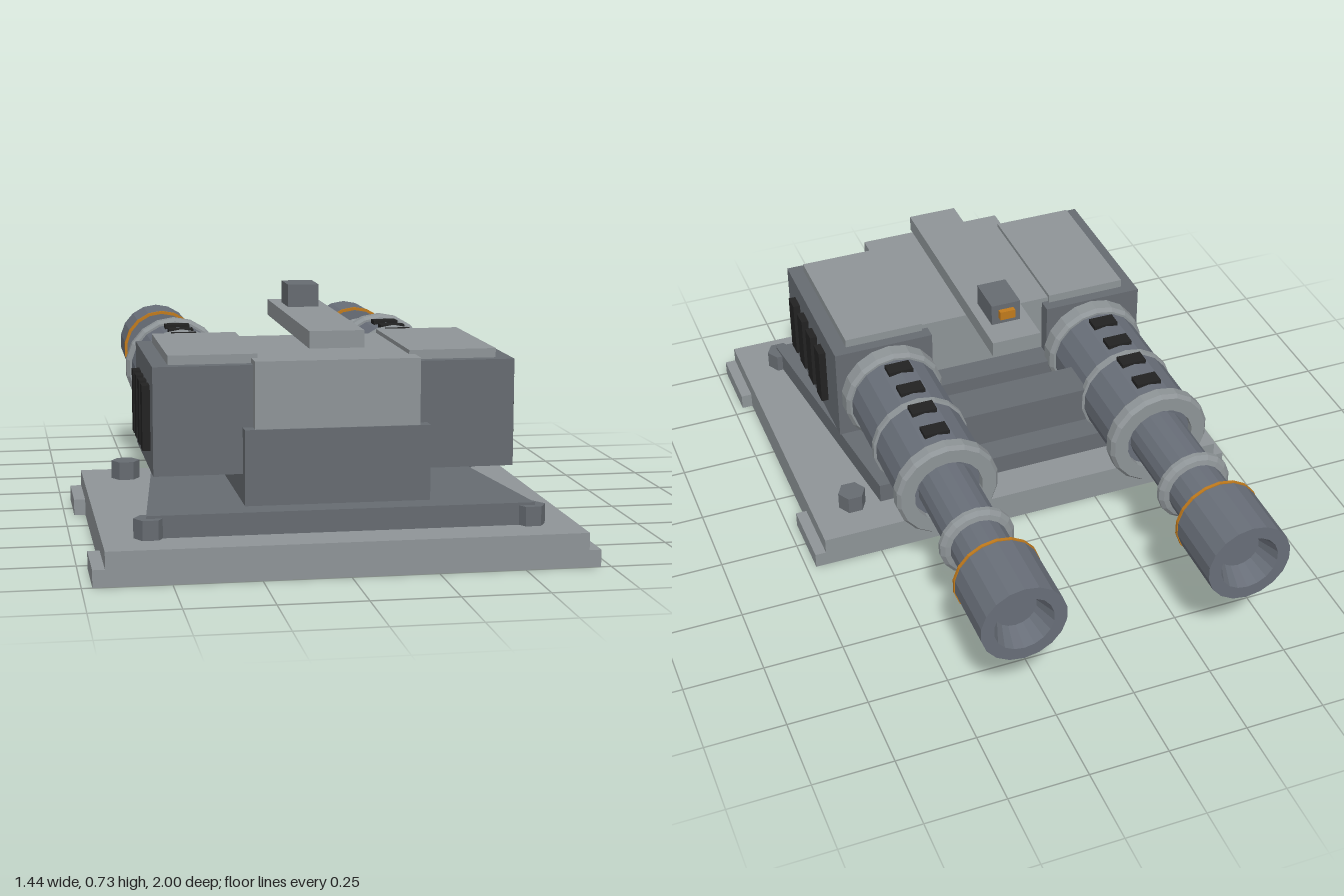
import * as THREE from 'three';

const mat = (name, color, flat = true) => {
  const m = new THREE.MeshStandardMaterial({ color, flatShading: flat });
  m.name = name;
  return m;
};

export function createModel() {
  const light = mat('light plating', 0x8e9497);
  const dark = mat('dark armour', 0x666b71);
  const steel = mat('barrel steel', 0x686e78);
  const black = mat('vent black', 0x222222);
  const orange = mat('orange accent', 0xc07a1c);
  const root = new THREE.Group();
  root.name = 'twinGunTurret';

  const add = (parent, name, geo, material) => {
    const mesh = new THREE.Mesh(geo, material);
    mesh.name = name;
    parent.add(mesh);
    return mesh;
  };
  // box given by its limits on each axis
  const box = (parent, name, material, x0, x1, y0, y1, z0, z1) => {
    const mesh = add(parent, name, new THREE.BoxGeometry(x1 - x0, y1 - y0, z1 - z0), material);
    mesh.position.set((x0 + x1) / 2, (y0 + y1) / 2, (z0 + z1) / 2);
    return mesh;
  };
  // revolved profile of [radius, distance toward the muzzle]
  const lathe = (parent, name, material, profile) => {
    const pts = profile.map(([r, d]) => new THREE.Vector2(r, d));
    const mesh = add(parent, name, new THREE.LatheGeometry(pts, 18), material);
    mesh.rotation.x = -Math.PI / 2;
    return mesh;
  };

  // base slab with corner feet
  box(root, 'baseSlab', light, -0.685, 0.685, 0, 0.1, -0.12, 1);
  for (const s of [-1, 1]) {
    for (const [z0, z1] of [[-0.12, 0.1], [0.78, 1]]) {
      box(root, 'cornerFoot', light, s * 0.7 - 0.02, s * 0.7 + 0.02, 0, 0.05, z0, z1);
    }
    for (const z of [0.02, 0.855]) {
      const bolt = add(root, 'hexBolt', new THREE.CylinderGeometry(0.045, 0.045, 0.057, 6), dark);
      bolt.rotation.y = Math.PI / 6;
      bolt.position.set(s * 0.55, 0.1285, z);
    }
  }

  // tapered mounting plate
  const plate = new THREE.Shape([[-0.56, -0.87], [0.56, -0.87], [0.46, 0], [-0.46, 0]]
    .map(([x, y]) => new THREE.Vector2(x, y)));
  const mount = add(root, 'mountingPlate',
    new THREE.ExtrudeGeometry(plate, { depth: 0.065, bevelEnabled: false }), dark);
  mount.rotation.x = -Math.PI / 2;
  mount.position.y = 0.1;

  // central body
  box(root, 'pedestal', dark, -0.27, 0.27, 0.16, 0.385, 0.16, 0.79);
  box(root, 'coreBlock', light, -0.24, 0.24, 0.38, 0.58, 0.245, 0.785);
  box(root, 'crossBeam', dark, -0.25, 0.25, 0.33, 0.45, -0.11, 0.02);

  // sighting rail and sensor
  box(root, 'topRail', light, -0.08, 0.08, 0.61, 0.66, -0.04, 0.76);
  box(root, 'sensorBox', dark, -0.048, 0.048, 0.66, 0.73, 0.055, 0.185);
  box(root, 'sensorLens', orange, -0.025, 0.025, 0.683, 0.712, 0.038, 0.055);

  for (const s of [-1, 1]) {
    // side housing with roof plate and vents
    const housing = new THREE.Group();
    housing.name = s > 0 ? 'leftHousing' : 'rightHousing';
    root.add(housing);
    const sideBox = (name, material, x0, x1, ...rest) =>
      box(housing, name, material, Math.min(s * x0, s * x1), Math.max(s * x0, s * x1), ...rest);
    sideBox('housingBody', dark, 0.2, 0.527, 0.25, 0.565, 0.2, 0.745);
    sideBox('roofPlate', light, 0.222, 0.48, 0.565, 0.592, 0.235, 0.71);
    for (let i = 0; i < 4; i++) {
      const z = 0.345 + i * 0.097;
      sideBox('sideVent', black, 0.52, 0.55, 0.31, 0.5, z - 0.028, z + 0.028);
    }

    // gun barrel
    const gun = new THREE.Group();
    gun.name = s > 0 ? 'leftGun' : 'rightGun';
    gun.position.set(s * 0.352, 0.402, 0);
    root.add(gun);
    lathe(gun, 'barrelJacket', steel, [[0, -0.22], [0.148, -0.22], [0.148, 0.35], [0.09, 0.35]]);
    lathe(gun, 'rearCollar', light,
      [[0.145, -0.2], [0.155, -0.2], [0.165, -0.19], [0.165, -0.145], [0.155, -0.132], [0.145, -0.132]]);
    lathe(gun, 'middleRing', light,
      [[0.145, 0.09], [0.156, 0.094], [0.156, 0.111], [0.145, 0.115]]);
    lathe(gun, 'frontCollar', light,
      [[0.145, 0.318], [0.155, 0.318], [0.165, 0.33], [0.165, 0.362], [0.155, 0.375], [0.11, 0.375], [0.11, 0.345]]);
    lathe(gun, 'innerBarrel', steel, [[0.09, 0.34], [0.09, 0.8]]);
    lathe(gun, 'barrelRing', light,
      [[0.088, 0.592], [0.106, 0.596], [0.118, 0.608], [0.118, 0.622], [0.106, 0.634], [0.088, 0.638]]);
    lathe(gun, 'muzzle', steel,
      [[0.085, 0.778], [0.132, 0.778], [0.132, 1], [0.092, 1], [0.065, 0.93], [0, 0.93]]);
    lathe(gun, 'muzzleBand', orange,
      [[0.125, 0.776], [0.135, 0.776], [0.135, 0.786], [0.13, 0.786]]);
    for (const z of [0.085, -0.03, -0.14, -0.255]) {
      box(gun, 'coolingSlot', black, -0.04, 0.04, 0.135, 0.155, z - 0.024, z + 0.024);
    }
  }
  return root;
}
